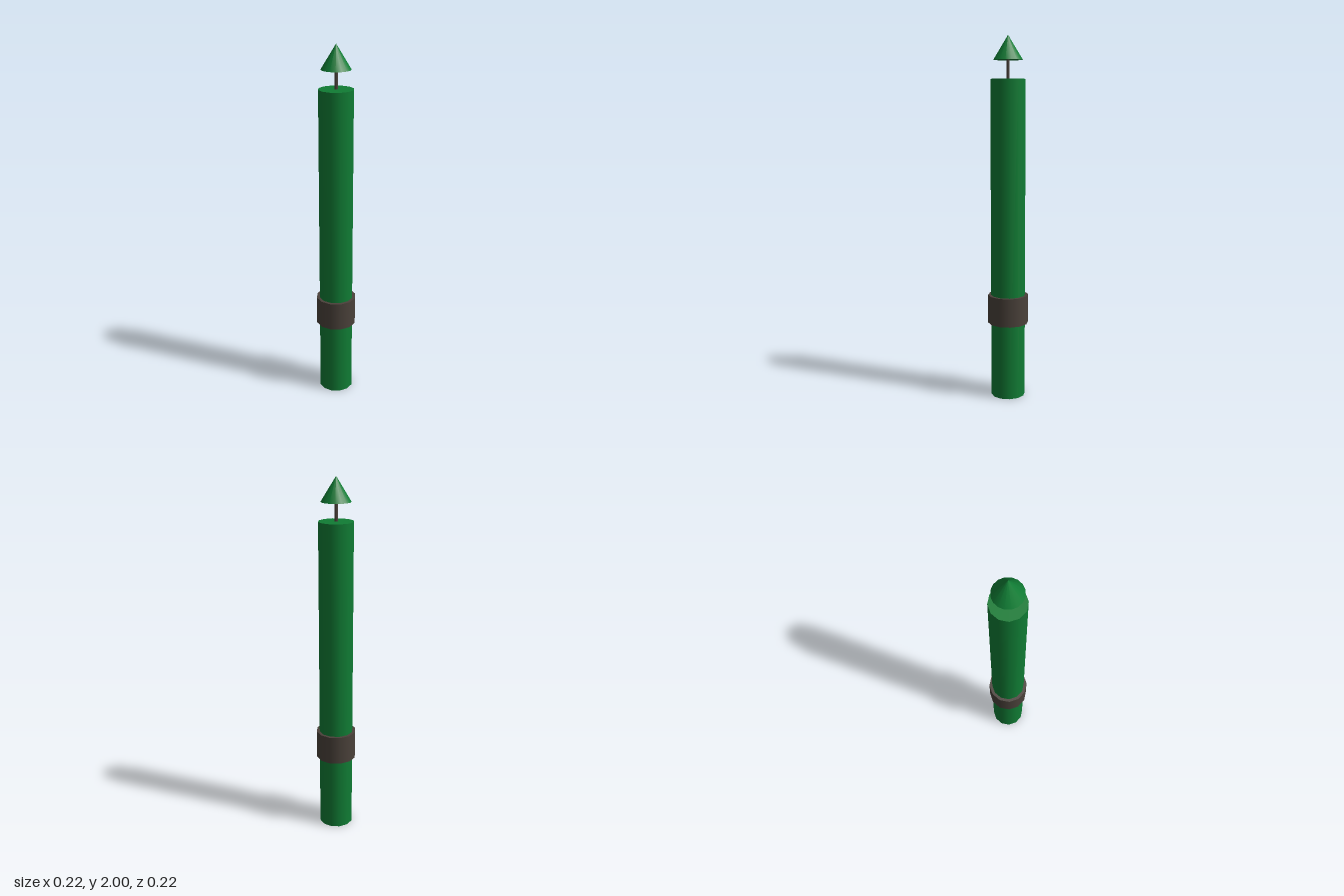
import * as THREE from 'three';

const green = new THREE.MeshStandardMaterial({ name: 'green', color: 0x107c34 });
const brown = new THREE.MeshStandardMaterial({ name: 'darkBrown', color: 0x4a413a });

export function createModel() {
  const group = new THREE.Group();
  group.name = 'bandedPost';

  // Round part standing between two heights
  const addRound = (name, material, rTop, rBottom, y0, y1, sides) => {
    const geometry = new THREE.CylinderGeometry(rTop, rBottom, y1 - y0, sides);
    const mesh = new THREE.Mesh(geometry, material);
    mesh.name = name;
    mesh.position.y = (y0 + y1) / 2;
    group.add(mesh);
  };

  addRound('body', green, 0.095, 0.095, 0, 1.77, 12);
  addRound('band', brown, 0.112, 0.112, 0.422, 0.582, 12);
  addRound('stem', brown, 0.009, 0.009, 1.76, 1.88, 8);

  // Pointed cap on the stem
  const tip = new THREE.Mesh(new THREE.ConeGeometry(0.08, 0.13, 16), green);
  tip.name = 'tip';
  tip.position.y = 1.935;
  group.add(tip);

  return group;
}
